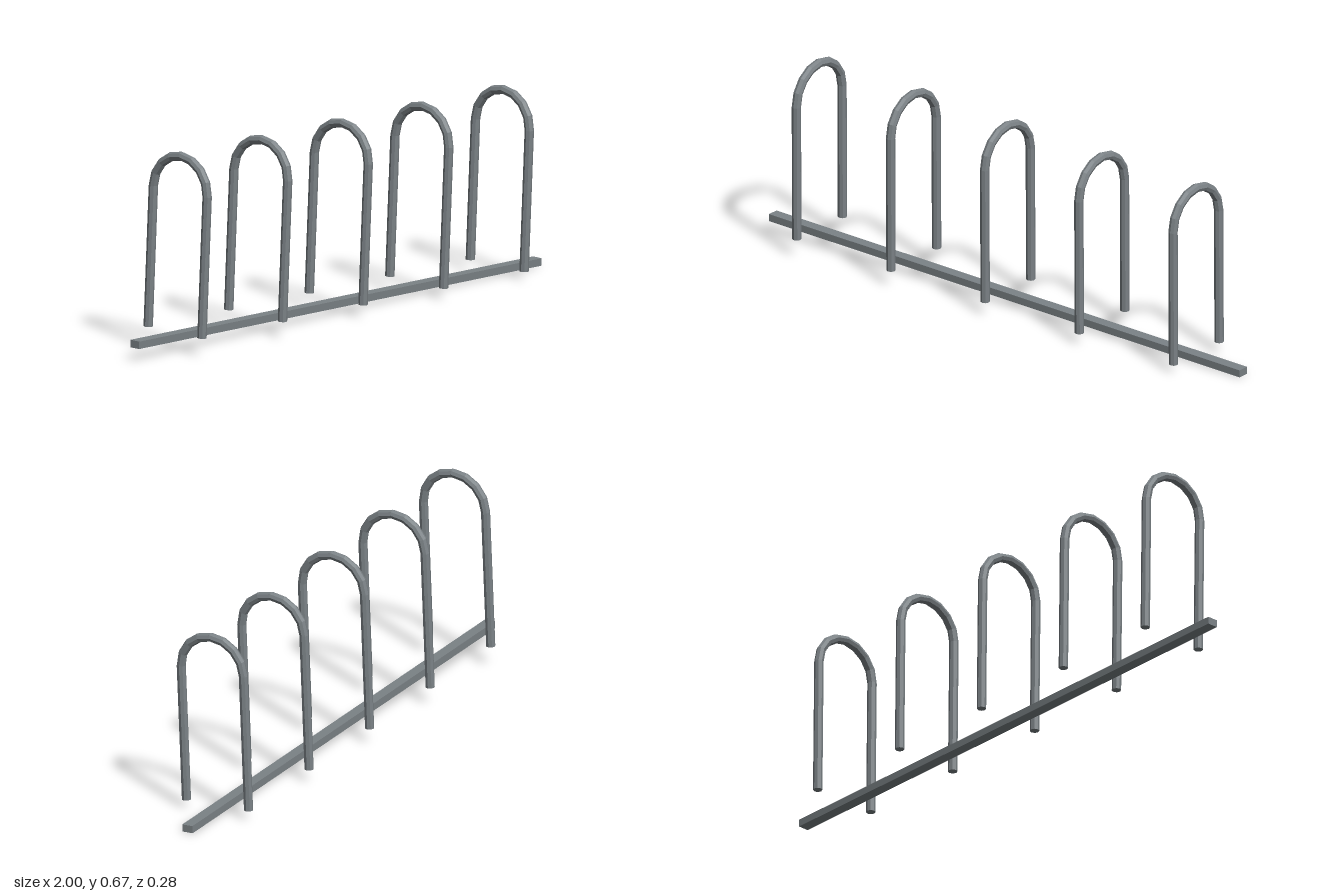
import * as THREE from 'three';

const SIDES = 8, ARC_STEPS = 8;
const TUBE = 0.0155, HALF_SPAN = 0.117, LEG = 0.472;

// Octagonal tube: straight leg, half-circle arch, straight leg, with closed ends
function hoopGeometry() {
  const stations = [{ y: 0, a: 0 }];
  for (let i = 0; i <= ARC_STEPS; i++) stations.push({ y: LEG, a: (Math.PI * i) / ARC_STEPS });
  stations.push({ y: 0, a: Math.PI });

  const pos = [], index = [];
  for (const { y, a } of stations) {
    for (let j = 0; j < SIDES; j++) {
      const t = (2 * Math.PI * j) / SIDES;
      const d = HALF_SPAN + TUBE * Math.cos(t);
      pos.push(TUBE * Math.sin(t), y + d * Math.sin(a), d * Math.cos(a));
    }
  }
  for (let i = 0; i < stations.length - 1; i++) {
    for (let j = 0; j < SIDES; j++) {
      const k = (j + 1) % SIDES;
      const a = i * SIDES + j, b = i * SIDES + k;
      index.push(a, b, b + SIDES, a, b + SIDES, a + SIDES);
    }
  }
  // end caps
  const last = (stations.length - 1) * SIDES;
  for (let j = 1; j < SIDES - 1; j++) {
    index.push(0, j + 1, j, last, last + j, last + j + 1);
  }
  const geo = new THREE.BufferGeometry();
  geo.setAttribute('position', new THREE.Float32BufferAttribute(pos, 3));
  geo.setIndex(index);
  const flat = geo.toNonIndexed();
  flat.computeVertexNormals();
  return flat;
}

export function createModel() {
  const steel = new THREE.MeshStandardMaterial({ color: 0x7b8286 });
  steel.name = 'grey steel';

  // The whole rack leans slightly, as on sloping ground
  const rack = new THREE.Group();
  rack.name = 'rack';
  rack.position.set(0, 0.035, -0.007);
  rack.rotation.set(0.03, 0, -0.0205);

  // Ground rail
  const rail = new THREE.Mesh(new THREE.BoxGeometry(1.999, 0.025, 0.038), steel);
  rail.name = 'groundRail';
  rack.add(rail);

  // Five evenly spaced hoops
  const hoopGeo = hoopGeometry();
  for (let i = 0; i < 5; i++) {
    const hoop = new THREE.Mesh(hoopGeo, steel);
    hoop.name = `hoop${i + 1}`;
    hoop.position.set((i - 2) * 0.4, 0.0135, 0);
    rack.add(hoop);
  }

  const model = new THREE.Group();
  model.name = 'bikeRack';
  model.add(rack);
  return model;
}
